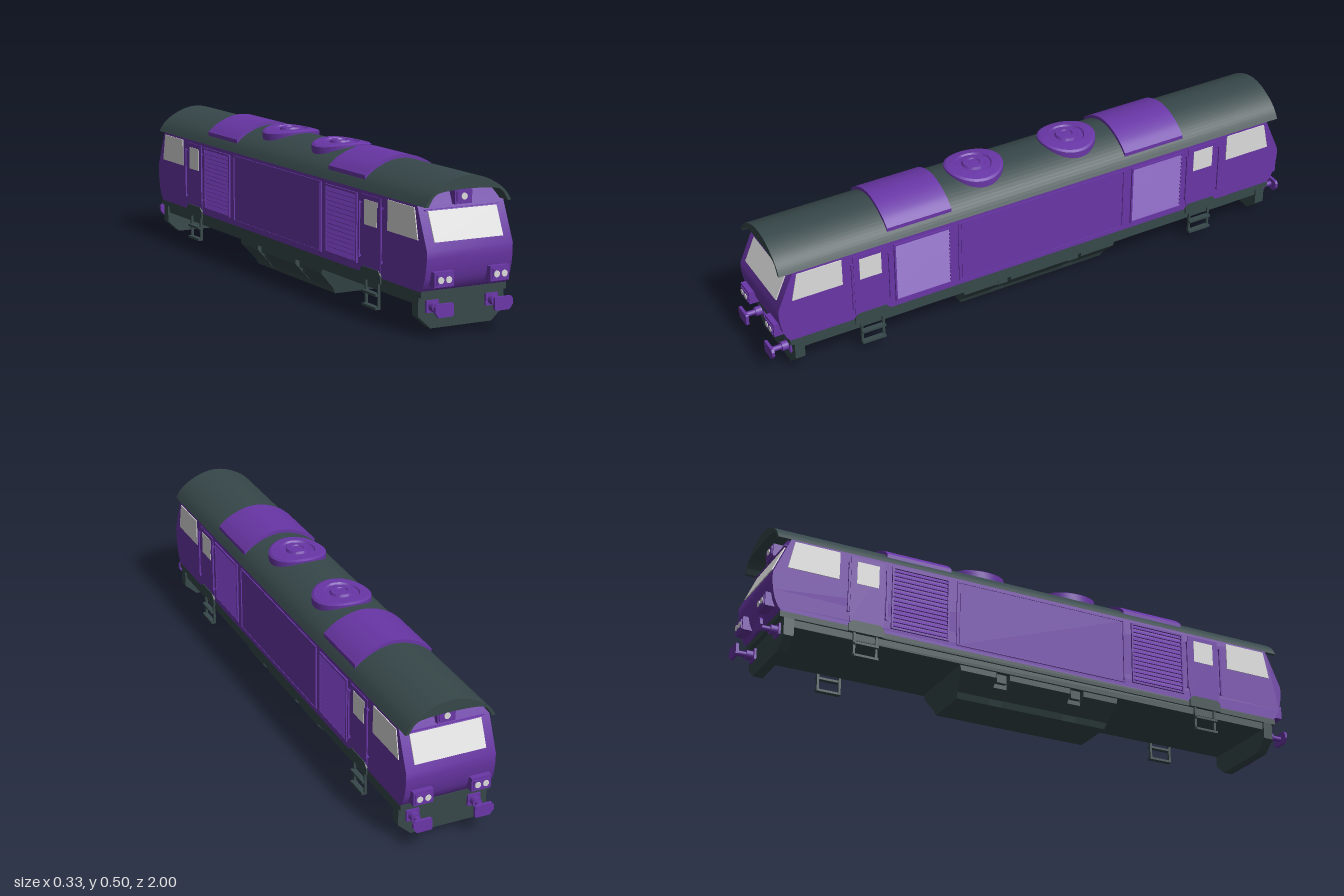
import * as THREE from 'three';
import { toCreasedNormals } from 'three/addons/utils/BufferGeometryUtils.js';

const purple = new THREE.MeshStandardMaterial({ color: 0x6936a6 }); purple.name = 'purple paint';
const dark = new THREE.MeshStandardMaterial({ color: 0x37484a }); dark.name = 'dark grey';
const glass = new THREE.MeshStandardMaterial({ color: 0xdcdcdc }); glass.name = 'pale glass';

const W = 0.154; // half width of the body

function add(parent, name, geo, mat, x = 0, y = 0, z = 0) {
  const m = new THREE.Mesh(geo, mat);
  m.name = name;
  m.position.set(x, y, z);
  parent.add(m);
  return m;
}
const box = (p, name, mat, w, h, d, x, y, z) => add(p, name, new THREE.BoxGeometry(w, h, d), mat, x, y, z);
const shapeOf = pts => new THREE.Shape(pts.map(p => new THREE.Vector2(p[0], p[1])));
const mirrorPts = pts => [...pts, ...pts.slice().reverse().filter(p => p[0] !== 0).map(p => [-p[0], p[1]])];

// Outline in x and y, extruded along z and centred
function alongZ(pts, depth) {
  return new THREE.ExtrudeGeometry(shapeOf(pts), { depth, bevelEnabled: false }).translate(0, 0, -depth / 2);
}
// Outline in z and y, extruded along x and centred
function alongX(pts, width) {
  return alongZ(pts, width).rotateY(-Math.PI / 2);
}
// Smooth arch through the right half points, mirrored to the left
function arch(half) {
  const all = mirrorPts(half).map(p => new THREE.Vector2(p[0], p[1]));
  return new THREE.SplineCurve(all).getPoints(28).map(v => [v.x, v.y]);
}

// Slope of the upper cab front
const noseZ = y => 0.972 - Math.max(0, y - 0.27) * 0.44;
function sloped(geo) {
  const p = geo.attributes.position;
  for (let i = 0; i < p.count; i++) p.setZ(i, p.getZ(i) + noseZ(p.getY(i)));
  geo.computeVertexNormals();
  return geo;
}

const roofHalf = [[W, 0.4], [0.134, 0.43], [0.1, 0.457], [0.05, 0.48], [0, 0.488]];
const innerHalf = [[0.142, 0.4], [0.12, 0.432], [0.085, 0.443], [0, 0.447]];

function buildBody(g) {
  // Lower body with bulged noses
  const nose = [[0.935, 0.138], [0.95, 0.155], [0.961, 0.18], [0.968, 0.21], [0.972, 0.24], [0.972, 0.27], [noseZ(0.4), 0.4]];
  add(g, 'body', toCreasedNormals(alongX(mirrorPts(nose), 2 * W), 0.5), purple);

  // Arched top of the cab fronts, under the roof
  const cap = alongZ(arch(innerHalf), 2);
  const p = cap.attributes.position;
  for (let i = 0; i < p.count; i++) p.setZ(i, Math.sign(p.getZ(i)) * noseZ(p.getY(i)));
  cap.computeVertexNormals();
  add(g, 'upperBody', cap, purple);

  // Overhanging roof shell
  const shell = [...arch(roofHalf), ...arch(innerHalf).reverse()];
  add(g, 'roof', toCreasedNormals(alongZ(shell, 1.92), 0.5), dark);

  // Sill, underframe and floor
  box(g, 'sill', dark, 2 * W, 0.02, 1.88, 0, 0.13, 0);
  box(g, 'underframe', dark, 0.295, 0.027, 1.85, 0, 0.108, 0);
}

function buildTank(g) {
  // Three tank sections on a narrower core
  const section = (name, z0, z1, taper) => {
    const d = z1 - z0;
    const geo = alongZ(mirrorPts([[0.08, 0], [0.09, 0.02], [0.14, 0.075], [0.14, 0.098]]), d);
    const p = geo.attributes.position;
    for (let i = 0; i < p.count; i++) {
      const z = p.getZ(i) + (z0 + z1) / 2;
      p.setZ(i, Math.abs(z) > 0.25 ? z - Math.sign(z) * taper * (0.098 - p.getY(i)) : z);
    }
    geo.computeVertexNormals();
    add(g, name, geo, dark);
  };
  section('middleTank', -0.115, 0.115, 0);
  section('frontTank', 0.165, 0.3, 0.2);
  section('rearTank', -0.3, -0.165, 0.2);
  for (const s of [-1, 1]) {
    add(g, 'tankLink', alongZ(mirrorPts([[0.08, 0], [0.088, 0.02], [0.115, 0.05], [0.115, 0.098]]), 0.06), dark, 0, 0, s * 0.14);
    for (const x of [-1, 1]) box(g, 'tankBracket', dark, 0.02, 0.03, 0.035, x * 0.12, 0.08, s * 0.14);
  }
}

function buildRoofGear(g) {
  for (const s of [-1, 1]) {
    // Curved roof hatch
    const top = arch([[0.135, 0.442], [0.1, 0.47], [0.05, 0.492], [0, 0.5]]);
    const hatch = [[0.135, 0.42], ...top, [-0.135, 0.42]];
    add(g, 'roofHatch', toCreasedNormals(alongZ(hatch, 0.235), 0.5), purple, 0, 0, s * 0.452);

    // Round fan cover, bent over the roof
    const prof = [[0.1, 0.455], [0.1, 0.494], [0.092, 0.498], [0.062, 0.498], [0.058, 0.492], [0.04, 0.492],
      [0.036, 0.5], [0.022, 0.5], [0.02, 0.496], [0.0, 0.497]].map(p => new THREE.Vector2(p[0], p[1]));
    const fan = new THREE.LatheGeometry(prof, 40);
    const p = fan.attributes.position;
    for (let i = 0; i < p.count; i++) p.setY(i, p.getY(i) - 1.3 * p.getX(i) ** 2);
    add(g, 'roofFan', toCreasedNormals(fan, 0.4), purple, 0, 0, s * 0.18);
  }
}

function buildSide(g, s) {
  // Raised middle panel with a rim
  box(g, 'sidePanel', purple, 0.004, 0.225, 0.62, s * W, 0.272, 0);
  for (const y of [0.157, 0.387]) box(g, 'panelRim', purple, 0.008, 0.005, 0.64, s * W, y, 0);
  for (const z of [-0.32, 0.32]) box(g, 'panelRim', purple, 0.008, 0.23, 0.005, s * W, 0.272, z);
}

// One end of the locomotive, facing +z
function buildEnd() {
  const g = new THREE.Group();

  // Windscreen and its brow
  add(g, 'windscreen', sloped(new THREE.BoxGeometry(0.246, 0.09, 0.006).translate(0, 0.338, 0.001)), glass);
  add(g, 'windscreenBrow', sloped(new THREE.BoxGeometry(0.27, 0.003, 0.012).translate(0, 0.385, 0.003)), purple);

  // Top headlight
  box(g, 'topLightHousing', purple, 0.062, 0.044, 0.05, 0, 0.418, 0.906);
  box(g, 'topLightPanel', purple, 0.05, 0.03, 0.006, 0, 0.42, 0.932);
  const lamp = (x, y, z) => add(g, 'lamp', new THREE.CylinderGeometry(0.0105, 0.0105, 0.006, 20).rotateX(Math.PI / 2), glass, x, y, z);
  lamp(0, 0.42, 0.935);

  // Valance plate below the cab
  add(g, 'valance', alongZ(mirrorPts([[0.11, 0.02], [W, 0.06], [W, 0.12]]), 0.035), dark, 0, 0, 0.908);

  for (const s of [-1, 1]) {
    // Paired lower lights
    box(g, 'lightHousing', purple, 0.068, 0.047, 0.04, s * 0.1, 0.182, 0.965);
    box(g, 'lightPanel', purple, 0.054, 0.032, 0.006, s * 0.1, 0.181, 0.986);
    lamp(s * 0.086, 0.181, 0.988);
    lamp(s * 0.114, 0.181, 0.988);

    // Bumper head on a sprung rod
    const head = [[0.033, 0.012], [0.026, 0.021], [-0.03, 0.021], [-0.033, 0.017], [-0.033, -0.017],
      [-0.028, -0.021], [0.02, -0.021], [0.033, -0.004]].map(p => [p[0] * s, p[1]]);
    add(g, 'bumperHead', alongZ(head, 0.01), purple, s * 0.107, 0.09, 0.995);
    const rod = (r, d, z) => add(g, 'bumperRod', new THREE.CylinderGeometry(r, r, d, 16).rotateX(Math.PI / 2), purple, s * 0.107, 0.09, z);
    rod(0.009, 0.07, 0.955);
    rod(0.016, 0.03, 0.94);
    box(g, 'bumperBase', purple, 0.045, 0.038, 0.008, s * 0.107, 0.09, 0.929);

    // Cab side window
    add(g, 'cabSideWindow', alongX([[0.745, 0.296], [0.923, 0.296], [0.902, 0.393], [0.745, 0.393]], 0.006), glass, s * W, 0, 0);

    // Cab door with window and handrails
    box(g, 'cabDoor', purple, 0.006, 0.235, 0.12, s * W, 0.272, 0.645);
    box(g, 'doorWindow', glass, 0.009, 0.08, 0.078, s * W, 0.334, 0.645);
    for (const z of [0.578, 0.712]) {
      box(g, 'handrail', purple, 0.005, 0.18, 0.007, s * 0.161, 0.275, z);
      for (const y of [0.19, 0.36]) box(g, 'handrailMount', purple, 0.01, 0.006, 0.007, s * 0.157, y, z);
    }

    // Louvred grille
    const x = s * W;
    for (const y of [0.164, 0.384]) box(g, 'grilleFrame', purple, 0.012, 0.006, 0.208, x, y, 0.455);
    for (const z of [0.354, 0.556]) box(g, 'grilleFrame', purple, 0.012, 0.226, 0.006, x, 0.274, z);
    for (let i = 0; i < 14; i++) {
      const slat = box(g, 'grilleSlat', purple, 0.003, 0.015, 0.198, s * 0.156, 0.1755 + i * 0.0152, 0.455);
      slat.rotation.z = s * 0.6;
    }

    // Door step block and ladder
    add(g, 'doorStep', alongX([[0.582, 0.12], [0.708, 0.12], [0.708, 0.145], [0.695, 0.16], [0.595, 0.16], [0.582, 0.145]], 0.012), dark, s * 0.154, 0, 0);
    for (const z of [0.606, 0.684]) box(g, 'ladderRail', dark, 0.009, 0.09, 0.008, s * 0.15, 0.08, z);
    for (const y of [0.038, 0.081]) box(g, 'ladderRung', dark, 0.018, 0.008, 0.086, s * 0.155, y, 0.645);
  }
  return g;
}

export function createModel() {
  const model = new THREE.Group();
  model.name = 'locomotive';
  buildBody(model);
  buildTank(model);
  buildRoofGear(model);
  for (const s of [-1, 1]) buildSide(model, s);

  // Matching cabs at both ends
  const front = buildEnd();
  front.name = 'frontCab';
  const rear = front.clone();
  rear.name = 'rearCab';
  rear.rotation.y = Math.PI;
  model.add(front, rear);
  return model;
}
